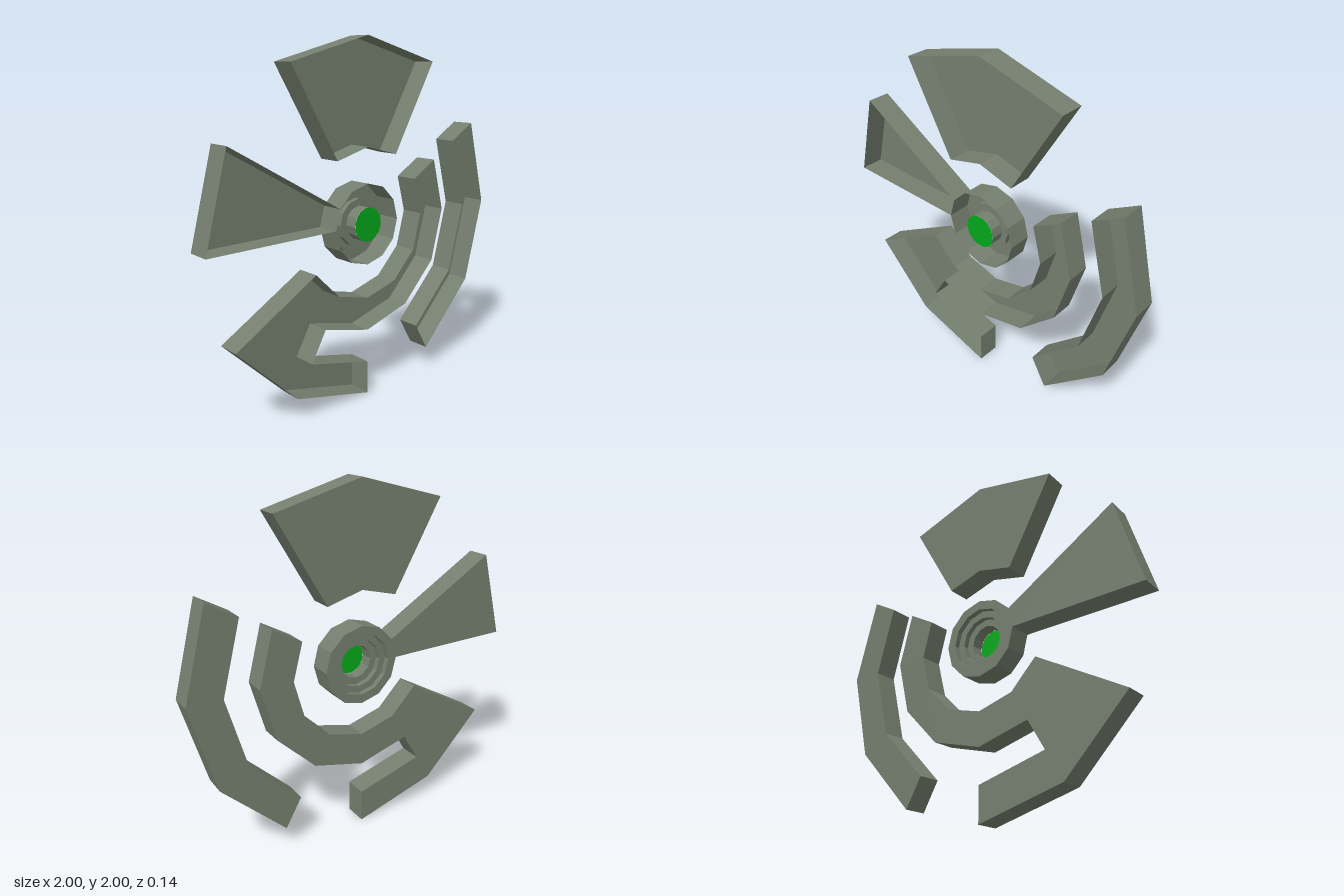
import * as THREE from 'three';

const HALF = 0.067; // half depth of the hollow pieces

const stone = new THREE.MeshStandardMaterial({ color: 0x747e6e, side: THREE.DoubleSide, flatShading: true });
stone.name = 'greyGreen';
const green = new THREE.MeshStandardMaterial({ color: 0x04a81a, side: THREE.DoubleSide });
green.name = 'brightGreen';

// Points on a circle about the hub, one every 30 degrees
function arc(r, from, to) {
  const pts = [];
  const step = Math.sign(to - from) * 30;
  for (let i = 0; i <= Math.abs(to - from) / 30; i++) {
    const a = THREE.MathUtils.degToRad(from + i * step);
    pts.push(new THREE.Vector2(r * Math.cos(a), r * Math.sin(a)));
  }
  return pts;
}

// Shallow tray: a back plate with walls round its outline, open at the front
function tray(name, outline) {
  const pts = THREE.ShapeUtils.isClockWise(outline) ? outline.slice().reverse() : outline;
  const pos = [];
  const add = (p, z) => pos.push(p.x, p.y, z);

  // Back plate, facing -z
  for (const [a, b, c] of THREE.ShapeUtils.triangulateShape(pts, [])) {
    for (const i of [a, c, b]) add(pts[i], -HALF);
  }
  // Walls, facing outwards
  pts.forEach((p, i) => {
    const q = pts[(i + 1) % pts.length];
    add(p, -HALF); add(q, -HALF); add(q, HALF);
    add(p, -HALF); add(q, HALF); add(p, HALF);
  });

  const geo = new THREE.BufferGeometry();
  geo.setAttribute('position', new THREE.Float32BufferAttribute(pos, 3));
  geo.computeVertexNormals();
  const mesh = new THREE.Mesh(geo, stone);
  mesh.name = name;
  return mesh;
}

export function createModel() {
  const model = new THREE.Group();
  model.name = 'emblem';
  const body = new THREE.Group();
  body.name = 'body';
  body.position.y = 1;
  model.add(body);

  // Top wedge and side blade
  body.add(tray('topWedge', [...arc(1, 60, 120), ...arc(0.425, 120, 60)]));
  body.add(tray('sideBlade', [...arc(1, 150, 180), ...arc(0.227, 180, 150)]));

  // Outer arc
  body.add(tray('outerArc', [...arc(1, -60, 30), ...arc(0.807, 30, -60)]));

  // Inner arc that widens into a hook at the lower corner
  body.add(tray('hookedArc', [
    ...arc(0.422, 30, -150),
    ...arc(1, -150, -90),
    ...arc(0.807, -90, -120),
    ...arc(0.613, -120, 30),
  ]));

  // Hub: rim wall and back ring, stepping forward to the disc in the middle
  const profile = [
    [0.095, HALF], [0.095, -0.005],
    [0.135, -0.005], [0.135, -0.036],
    [0.175, -0.036], [0.175, -HALF],
    [0.227, -HALF], [0.227, HALF],
  ].map(([r, z]) => new THREE.Vector2(r, z));
  const hubGeo = new THREE.LatheGeometry(profile, 12);
  hubGeo.rotateX(Math.PI / 2);
  const hub = new THREE.Mesh(hubGeo, stone);
  hub.name = 'steppedHub';
  body.add(hub);

  // Green disc at the front of the hub
  const disc = new THREE.Mesh(new THREE.CircleGeometry(0.096, 16, Math.PI / 16), green);
  disc.name = 'hubDisc';
  disc.position.z = HALF + 0.003;
  body.add(disc);

  return model;
}
